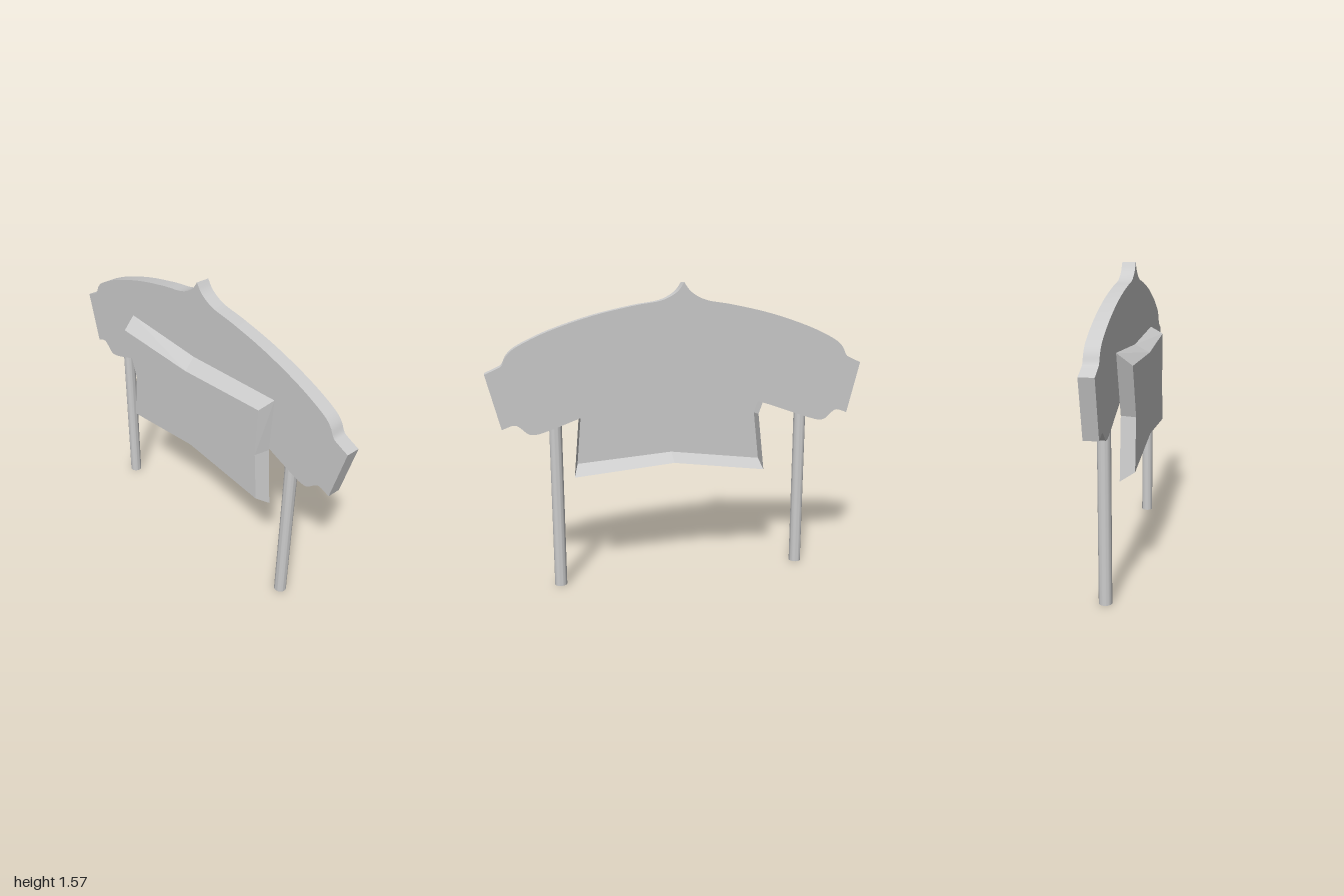
import * as THREE from 'three';
import { toCreasedNormals } from 'three/addons/utils/BufferGeometryUtils.js';

const V = (p) => new THREE.Vector2(p[0], p[1]);

// smooth curve through a few points
function smooth(points, divisions) {
  return new THREE.SplineCurve(points.map(V)).getPoints(divisions);
}

export function createModel() {
  const group = new THREE.Group();
  const grey = new THREE.MeshStandardMaterial({ color: 0xcccccc });
  grey.name = 'plain grey';
  const greyShell = new THREE.MeshStandardMaterial({ color: 0xcccccc, side: THREE.DoubleSide });
  greyShell.name = 'plain grey shell';

  // Crest board: half outline from the top point down to the bottom cusp, then mirrored
  const half = [
    ...smooth([[0, 1.565], [0.04, 1.515], [0.12, 1.475], [0.257, 1.452], [0.47, 1.404],
      [0.684, 1.334], [0.834, 1.265], [0.888, 1.222], [0.914, 1.174], [0.94, 1.157], [1.0, 1.131]], 40),
    ...smooth([[0.93, 0.854], [0.875, 0.873], [0.845, 0.863], [0.802, 0.826], [0.765, 0.821],
      [0.72, 0.832], [0.642, 0.858], [0.47, 0.92], [0.36, 0.95], [0.24, 0.965],
      [0.12, 0.953], [0.05, 0.932], [0, 0.912]], 44),
  ];
  const mirrored = half.slice(1, -1).reverse().map((p) => new THREE.Vector2(-p.x, p.y));
  const boardGeometry = new THREE.ExtrudeGeometry(new THREE.Shape([...half, ...mirrored]), {
    depth: 0.07, bevelEnabled: false,
  });
  boardGeometry.translate(0, 0, -0.07);
  const board = new THREE.Mesh(toCreasedNormals(boardGeometry, 0.5), grey);
  board.name = 'crestBoard';
  group.add(board);

  // Hanging panel: front face with flared rim walls, open at the back (clockwise from top left)
  const rim = [[-0.55, 1.17], [-0.025, 1.145], [0.556, 1.18], [0.543, 0.885],
    [0.572, 0.566], [0.035, 0.61], [-0.476, 0.539], [-0.44, 0.855]];
  const face = [[-0.532, 1.11], [0, 1.1], [0.53, 1.143], [0.523, 0.88],
    [0.547, 0.62], [0.035, 0.655], [-0.47, 0.587], [-0.44, 0.85]];
  const positions = [];
  const put = (p, z) => positions.push(p[0], p[1], z);
  const depth = 0.074;
  for (let i = 0; i < rim.length; i++) {
    const j = (i + 1) % rim.length;
    put(rim[i], 0); put(face[i], depth); put(face[j], depth);
    put(rim[i], 0); put(face[j], depth); put(rim[j], 0);
  }
  for (const triangle of THREE.ShapeUtils.triangulateShape(face.map(V), [])) {
    const [a, b, c] = triangle.map((k) => face[k]);
    const turn = (b[0] - a[0]) * (c[1] - a[1]) - (b[1] - a[1]) * (c[0] - a[0]);
    for (const p of turn > 0 ? [a, b, c] : [a, c, b]) put(p, depth);
  }
  const panelGeometry = new THREE.BufferGeometry();
  panelGeometry.setAttribute('position', new THREE.Float32BufferAttribute(positions, 3));
  panelGeometry.computeVertexNormals();
  const panel = new THREE.Mesh(panelGeometry, greyShell);
  panel.name = 'signPanel';
  group.add(panel);

  // Hollow tube posts
  const profile = [[0.022, 0], [0.032, 0], [0.032, 0.86], [0.022, 0.86], [0.022, 0]].map(V);
  const postGeometry = toCreasedNormals(new THREE.LatheGeometry(profile, 32), 0.6);
  for (const side of [-1, 1]) {
    const post = new THREE.Mesh(postGeometry, grey);
    post.position.set(side * 0.665, 0, -0.035);
    post.name = side > 0 ? 'leftPost' : 'rightPost';
    group.add(post);
  }

  return group;
}
